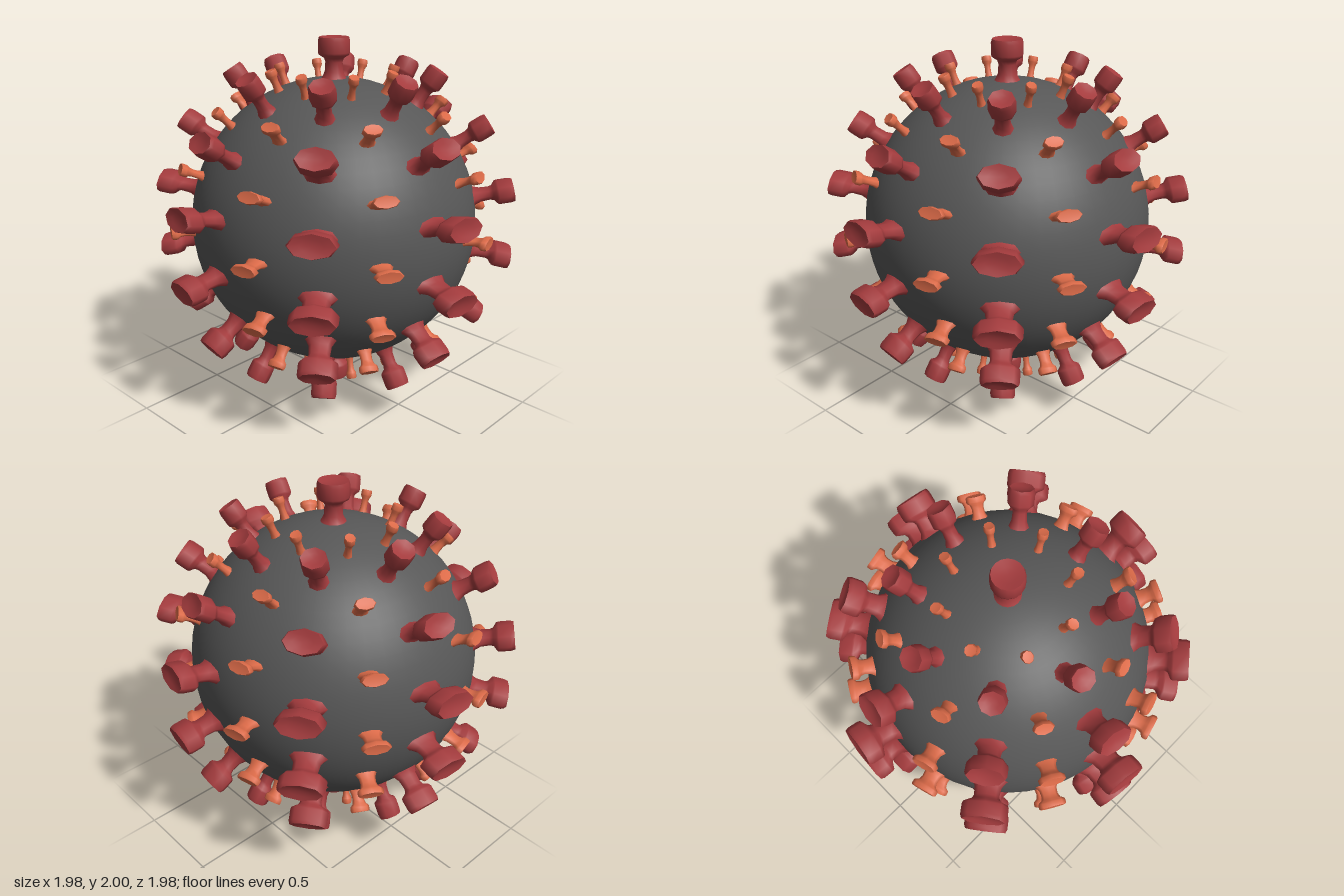
import * as THREE from 'three';
import { toCreasedNormals } from 'three/addons/utils/BufferGeometryUtils.js';

const RAD = Math.PI / 180;

// Spool-shaped spike along +y; profile rows are [share of radius, distance from the core centre]
function spikeGeometry(profile, radius, sides) {
  const points = profile.map(([r, y]) => new THREE.Vector2(r * radius, y));
  return toCreasedNormals(new THREE.LatheGeometry(points, sides), 54 * RAD);
}

export function createModel() {
  const model = new THREE.Group();
  model.name = 'virus';

  const grey = new THREE.MeshStandardMaterial({ color: 0x575757 });
  grey.name = 'dark grey';
  const red = new THREE.MeshStandardMaterial({ color: 0xa33b3d });
  red.name = 'deep red';
  const orange = new THREE.MeshStandardMaterial({ color: 0xdb6a48 });
  orange.name = 'orange';

  const body = new THREE.Group();
  body.name = 'body';
  body.position.y = 1;
  model.add(body);

  // Round core
  const core = new THREE.Mesh(new THREE.SphereGeometry(0.788, 48, 32), grey);
  core.name = 'core';
  body.add(core);

  // Flared foot, narrow neck and thick, slightly dished head
  const largeProfile = [
    [1, 0.765], [0.74, 0.79], [0.58, 0.82], [0.54, 0.87], [0.62, 0.89],
    [0.96, 0.908], [1, 0.92], [1, 0.98], [0.93, 1], [0.5, 0.992], [0, 0.988],
  ];
  // Shorter spool with a thin head
  const smallProfile = [
    [1, 0.768], [0.78, 0.79], [0.64, 0.81], [0.6, 0.84], [0.7, 0.862],
    [0.97, 0.875], [1, 0.882], [1, 0.9], [0.92, 0.907], [0, 0.903],
  ];
  const largeRadius = 0.085;
  const smallRadius = 0.05;
  const largeGeometry = spikeGeometry(largeProfile, largeRadius, 8);
  const smallGeometry = spikeGeometry(smallProfile, smallRadius, 8);
  const poleGeometry = spikeGeometry(largeProfile, largeRadius, 16);

  function addSpike(name, geometry, material, lat, lon, scaleX, scaleZ) {
    const spike = new THREE.Mesh(geometry, material);
    spike.name = name;
    spike.rotation.set((90 - lat) * RAD, lon * RAD, 0, 'YXZ');
    spike.scale.set(scaleX, 1, scaleZ);
    body.add(spike);
  }

  // Rings of eight spikes; heads are wide at the equator and narrow towards the poles
  function addRing(name, geometry, material, lat, firstLon, scaleX, scaleZ) {
    for (let i = 0; i < 8; i++) {
      addSpike(name, geometry, material, lat, firstLon + i * 45, scaleX * Math.cos(lat * RAD), scaleZ);
    }
  }

  for (const lat of [-56.25, -33.75, -11.25, 11.25, 33.75, 56.25]) {
    addRing('largeSpike', largeGeometry, red, lat, -7.5, 0.122 / largeRadius, 0.063 / largeRadius);
  }
  for (const lat of [-67.5, -45, -22.5, 0, 22.5, 45, 67.5]) {
    addRing('smallSpike', smallGeometry, orange, lat, 15, 0.074 / smallRadius, 0.032 / smallRadius);
  }

  // Round spikes at the top and bottom
  addSpike('topSpike', poleGeometry, red, 90, 0, 1, 1);
  addSpike('bottomSpike', poleGeometry, red, -90, 0, 1, 1);

  return model;
}
